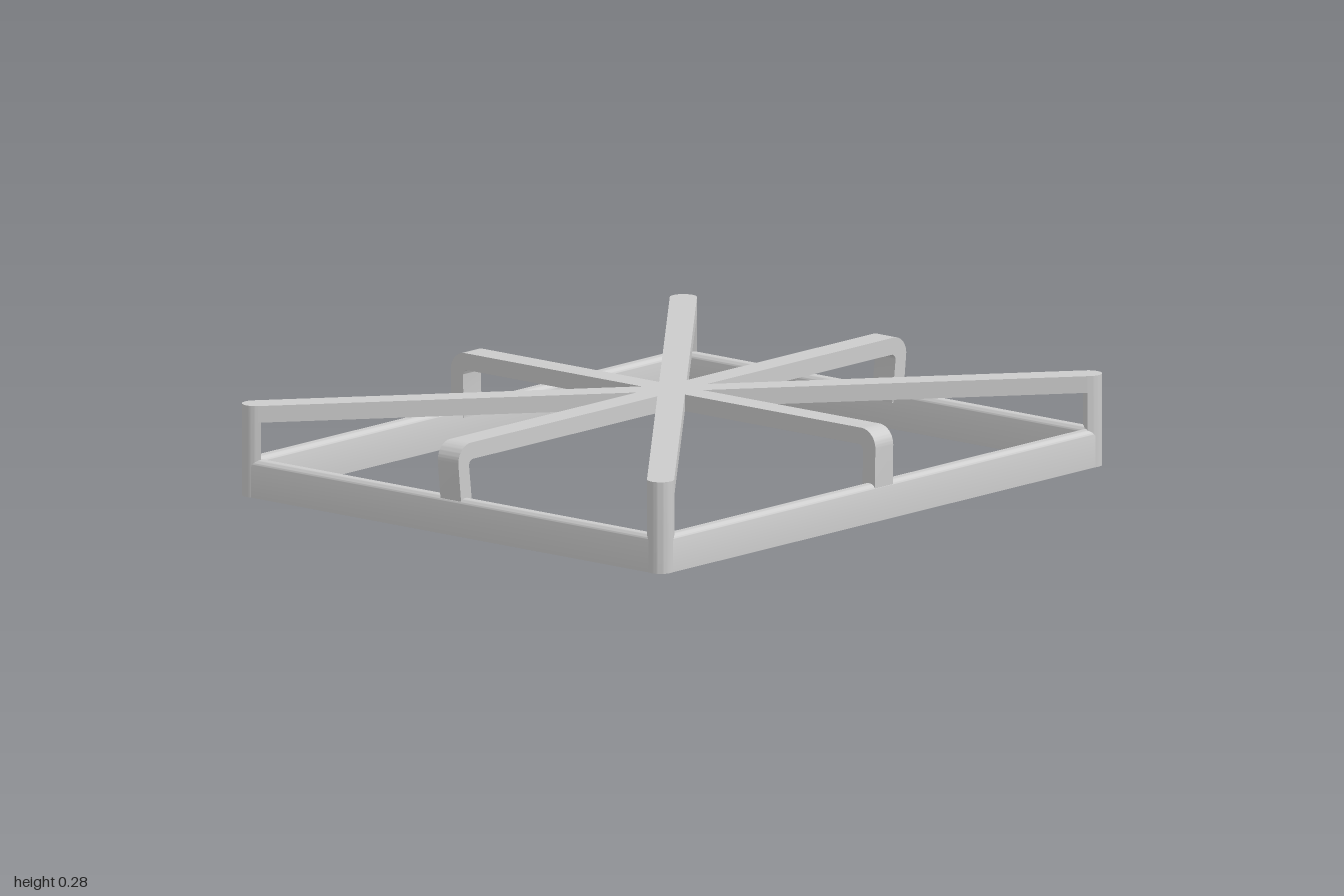
import * as THREE from 'three';
import { toCreasedNormals } from 'three/addons/utils/BufferGeometryUtils.js';

const TOP = 0.275, BAR = 0.05, WIDTH = 0.08, R = WIDTH / 2;
const POST_X = 0.955, POST_Z = 0.787;
const RAIL_H = 0.113, RAIL_W = 0.048;

const material = new THREE.MeshStandardMaterial({ color: 0xcccccc });

// Extrude a shape, centred along its depth, with smooth curves and sharp edges
function extrude(shape, depth) {
  const geo = new THREE.ExtrudeGeometry(shape, { depth, bevelEnabled: false, curveSegments: 10 });
  geo.translate(0, 0, -depth / 2);
  return toCreasedNormals(geo, 0.6);
}

function addMesh(parent, name, geometry) {
  const mesh = new THREE.Mesh(geometry, material);
  mesh.name = name;
  parent.add(mesh);
  return mesh;
}

// Rail section: flat base, rounded top edges
function railShape() {
  const w = RAIL_W / 2, r = 0.021, s = new THREE.Shape();
  s.moveTo(-w, 0);
  s.lineTo(w, 0);
  s.lineTo(w, RAIL_H - r);
  s.absarc(w - r, RAIL_H - r, r, 0, Math.PI / 2);
  s.absarc(-w + r, RAIL_H - r, r, Math.PI / 2, Math.PI);
  s.closePath();
  return s;
}

// Side profile of a straight arm: a bridge with rounded shoulders and
// legs that lean in slightly to meet the rails
function bridgeShape(half, foot) {
  const t = 0.048, r = 0.055, ri = 0.018, y0 = 0.08;
  const inner = half - t, under = TOP - BAR;
  const s = new THREE.Shape();
  s.moveTo(foot, y0);
  s.lineTo(half, TOP - r);
  s.absarc(half - r, TOP - r, r, 0, Math.PI / 2);
  s.absarc(-half + r, TOP - r, r, Math.PI / 2, Math.PI);
  s.lineTo(-foot, y0);
  s.lineTo(-foot + t, y0);
  s.lineTo(-inner, under - ri);
  s.absarc(-inner + ri, under - ri, ri, Math.PI, Math.PI / 2, true);
  s.absarc(inner - ri, under - ri, ri, Math.PI / 2, 0, true);
  s.lineTo(foot - t, y0);
  s.closePath();
  return s;
}

// Corner post section: round outside, flat towards the centre
function postShape() {
  const s = new THREE.Shape();
  s.moveTo(-0.01, -R);
  s.lineTo(0, -R);
  s.absarc(0, 0, R, -Math.PI / 2, Math.PI / 2);
  s.lineTo(-0.01, R);
  s.closePath();
  return s;
}

export function createModel() {
  const model = new THREE.Group();
  model.name = 'panSupport';

  // Base frame
  const frame = new THREE.Group();
  frame.name = 'baseFrame';
  model.add(frame);
  const longRail = extrude(railShape(), POST_X * 2);
  const shortRail = extrude(railShape(), POST_Z * 2);
  for (const s of [-1, 1]) {
    const long = addMesh(frame, s > 0 ? 'frontRail' : 'backRail', longRail);
    long.rotation.y = Math.PI / 2;
    long.position.z = s * (POST_Z + R - 0.002 - RAIL_W / 2);
    const short = addMesh(frame, s > 0 ? 'leftRail' : 'rightRail', shortRail);
    short.position.x = s * (POST_X + R - 0.003 - RAIL_W / 2);
  }

  // Straight arms with bent-down legs
  addMesh(model, 'crossArm', extrude(bridgeShape(1, 0.985), WIDTH));
  const depthArm = addMesh(model, 'depthArm', extrude(bridgeShape(0.825, 0.823), WIDTH));
  depthArm.rotation.y = Math.PI / 2;

  // Diagonal arms ending in corner posts
  const reach = Math.hypot(POST_X, POST_Z);
  const angle = Math.atan2(POST_Z, POST_X);
  const armGeo = new THREE.BoxGeometry(reach * 2, BAR, WIDTH);
  const postGeo = extrude(postShape(), TOP);
  postGeo.rotateX(-Math.PI / 2);
  for (const s of [-1, 1]) {
    const diagonal = new THREE.Group();
    diagonal.name = s > 0 ? 'diagonalArmA' : 'diagonalArmB';
    diagonal.rotation.y = s * angle;
    model.add(diagonal);
    addMesh(diagonal, 'bar', armGeo).position.y = TOP - BAR / 2;
    for (const end of [-1, 1]) {
      const post = addMesh(diagonal, 'cornerPost', postGeo);
      post.position.set(end * reach, TOP / 2, 0);
      post.rotation.y = end > 0 ? 0 : Math.PI;
    }
  }
  return model;
}
